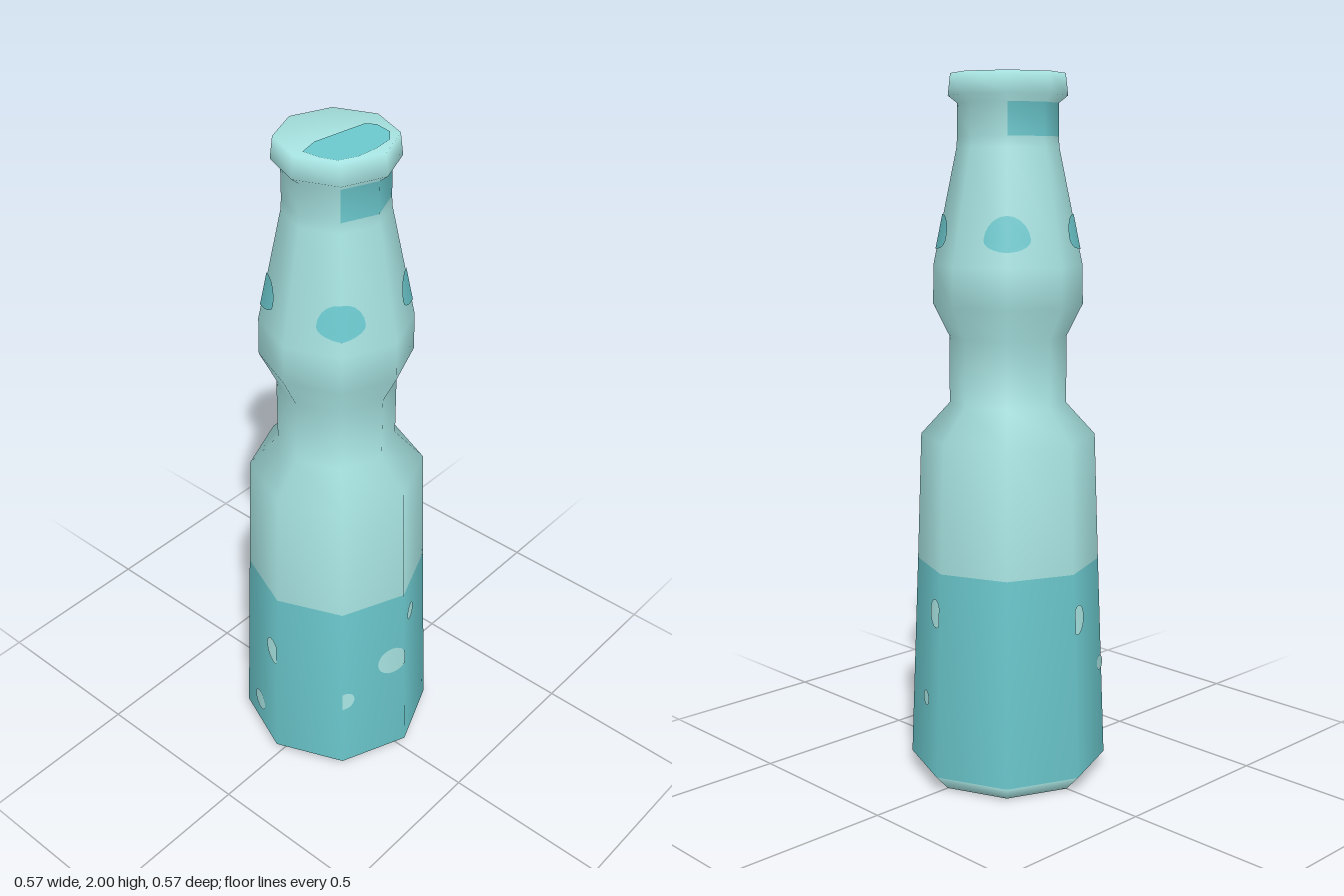
import * as THREE from 'three';

const glass = new THREE.MeshStandardMaterial({ color: 0xa6e2e0 });
glass.name = 'paleGlass';
const liquid = new THREE.MeshStandardMaterial({ color: 0x6bc8cd });
liquid.name = 'tealLiquid';

const SIDES = 8;
const STEP = (Math.PI * 2) / SIDES;

// Bottle silhouette from base to cap: radius, height
const PROFILE = [
  [0, 0], [0.24, 0], [0.283, 0.045], [0.26, 0.635], [0.247, 1.0], [0.165, 1.09],
  [0.165, 1.28], [0.21, 1.37], [0.208, 1.48], [0.142, 1.8], [0.14, 1.83],
  [0.14, 1.92], [0.165, 1.94], [0.158, 2.0], [0, 2.0],
];
const LIQUID_ROW = 2;
const BAND_ROW = 10;
const BAND_SIDES = [0, 3, 4, 7];

// Radius and upward lean of the wall at a height
function wallAt(y) {
  const i = PROFILE.findIndex((p, n) => n > 1 && p[1] >= y);
  const [r0, y0] = PROFILE[i - 1];
  const [r1, y1] = PROFILE[i];
  return { r: r0 + ((r1 - r0) * (y - y0)) / (y1 - y0), lean: (r0 - r1) / (y1 - y0) };
}

// Thin convex patch on one flat side; points are [fraction across the side, height]
function sidePatch(name, side, points, material) {
  const positions = [], normals = [], index = [];
  const a = side * STEP, b = a + STEP;
  points.forEach(([s, y], i) => {
    const { r, lean } = wallAt(y);
    const dx = Math.sin(a) * (1 - s) + Math.sin(b) * s;
    const dz = Math.cos(a) * (1 - s) + Math.cos(b) * s;
    positions.push(dx * (r + 0.003), y, dz * (r + 0.003));
    const n = new THREE.Vector3(dx, lean, dz).normalize();
    normals.push(n.x, n.y, n.z);
    if (i > 1) index.push(0, i - 1, i);
  });
  const geometry = new THREE.BufferGeometry();
  geometry.setAttribute('position', new THREE.Float32BufferAttribute(positions, 3));
  geometry.setAttribute('normal', new THREE.Float32BufferAttribute(normals, 3));
  geometry.setIndex(index);
  const mesh = new THREE.Mesh(geometry, material);
  mesh.name = name;
  return mesh;
}

// Oval outline cut off at the edges of its side
function oval(s, y, halfS, up, down) {
  return Array.from({ length: 20 }, (_, i) => {
    const t = (i / 20) * Math.PI * 2;
    const h = Math.sin(t);
    return [THREE.MathUtils.clamp(s + halfS * Math.cos(t), 0, 1), y + h * (h > 0 ? up : down)];
  });
}

export function createModel() {
  const model = new THREE.Group();
  model.name = 'bottle';

  // Glass body with the liquid and the neck labels as coloured rows
  const body = new THREE.LatheGeometry(PROFILE.map(([r, y]) => new THREE.Vector2(r, y)), SIDES);
  const rows = PROFILE.length - 1;
  for (let side = 0; side < SIDES; side++) {
    for (let row = 0; row < rows; row++) {
      const teal = row === LIQUID_ROW || (row === BAND_ROW && BAND_SIDES.includes(side));
      body.addGroup((side * rows + row) * 6, 6, teal ? 1 : 0);
    }
  }
  const bottle = new THREE.Mesh(body, [glass, liquid]);
  bottle.name = 'bottleBody';
  model.add(bottle);

  // Bubbles: side, fraction across, height, radius
  const bubbles = [
    [0, 0.27, 0.53, 0.027], [7, 0.8, 0.395, 0.048], [7, 0.04, 0.295, 0.031],
    [1, 0.85, 0.515, 0.041], [1, 0.56, 0.25, 0.022], [4, 0.12, 0.5, 0.042],
    [4, 0.9, 0.326, 0.022], [5, 0.88, 0.42, 0.042], [5, 0.45, 0.134, 0.034],
  ];
  for (const [side, s, y, radius] of bubbles) {
    const width = 2 * Math.sin(STEP / 2) * wallAt(y).r;
    model.add(sidePatch('bubble', side, oval(s, y, radius / width, radius, radius), glass));
  }

  // Domed spots wrapped around the four diagonal corners of the neck
  for (const corner of [1, 3, 5, 7]) {
    model.add(sidePatch('neckSpot', corner - 1, oval(1, 1.555, 0.46, 0.065, 0.032), liquid));
    model.add(sidePatch('neckSpot', corner, oval(0, 1.555, 0.46, 0.065, 0.032), liquid));
  }

  // Rounded patch on the flat cap
  const outline = [
    [-0.13, -0.005], [-0.07, 0.01], [0.09, -0.015], [0.105, -0.04], [0.095, -0.09],
    [0.06, -0.12], [0, -0.127], [-0.06, -0.123], [-0.11, -0.1], [-0.125, -0.06],
  ];
  const patch = new THREE.ShapeGeometry(new THREE.Shape(outline.map(([x, y]) => new THREE.Vector2(x, y))));
  patch.rotateX(-Math.PI / 2);
  const capPatch = new THREE.Mesh(patch, liquid);
  capPatch.name = 'capPatch';
  capPatch.position.y = 2.002;
  model.add(capPatch);

  return model;
}
